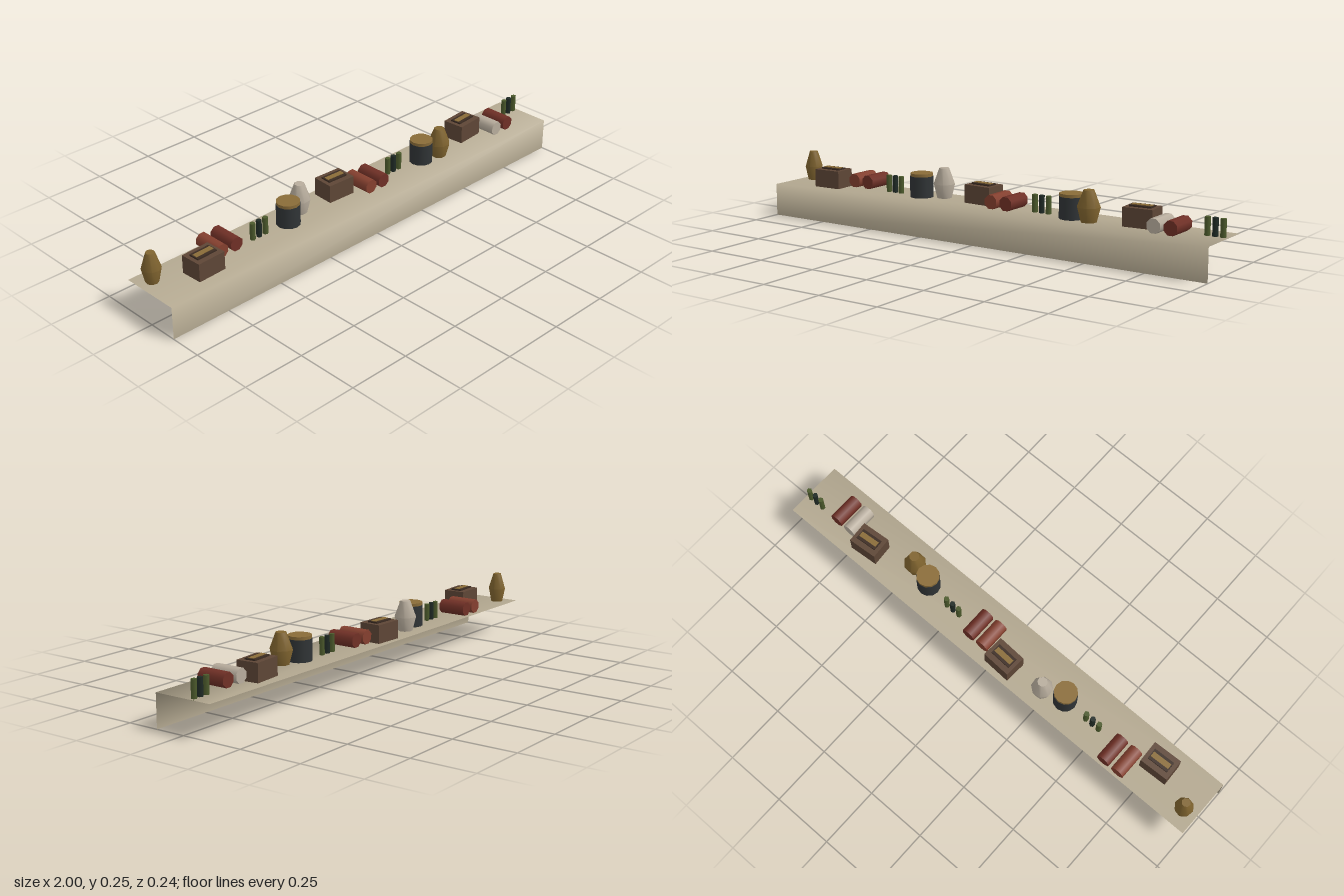
import * as THREE from 'three';
import { toCreasedNormals } from 'three/addons/utils/BufferGeometryUtils.js';

const BASE = 0.126; // goods sink slightly into the shelf top

const paint = (color, side = THREE.FrontSide) => new THREE.MeshStandardMaterial({ color, side });
const C = {
  shelf: paint(0xb3a890, THREE.DoubleSide), crate: paint(0x5e4636), crateDark: paint(0x3c2c22),
  gold: paint(0x8a6c38), drum: paint(0x303436), vase: paint(0x80642f), pale: paint(0xb8ad9d),
  red: paint(0x85402f), darkRed: paint(0x703026), green: paint(0x4c5a2c), darkGreen: paint(0x1f2a25),
};

function part(name, geometry, material, x = 0, y = 0, z = 0) {
  const mesh = new THREE.Mesh(geometry, material);
  mesh.name = name;
  mesh.position.set(x, y, z);
  return mesh;
}

function cluster(name, x, z, turn, ...parts) {
  const group = new THREE.Group();
  group.name = name;
  group.position.set(x, BASE, z);
  group.rotation.y = turn;
  group.add(...parts);
  return group;
}

// Bent sheet: flat top with a front drop, shading blended across the bend
function shelfGeometry() {
  const profile = [[-0.122, 0.131], [0.122, 0.131], [0.122, 0]];
  const positions = [], index = [];
  for (const [z, y] of profile) positions.push(-1, y, z, 1, y, z);
  for (let i = 0; i < profile.length - 1; i++) {
    const a = i * 2;
    index.push(a, a + 2, a + 1, a + 1, a + 2, a + 3);
  }
  const geometry = new THREE.BufferGeometry();
  geometry.setAttribute('position', new THREE.Float32BufferAttribute(positions, 3));
  geometry.setIndex(index);
  geometry.computeVertexNormals();
  return geometry;
}

// Faceted jar with a wide shoulder and a narrow mouth
function vase(x, z, radius, material, turn) {
  const profile = [[0, 0], [0.65, 0], [1, 0.062], [0.46, 0.126], [0, 0.126]]
    .map(([r, y]) => new THREE.Vector2(r * radius, y));
  const geometry = toCreasedNormals(new THREE.LatheGeometry(profile, 8), 0.9);
  return cluster('vase', x, z, turn, part('vaseBody', geometry, material));
}

// Wooden crate with a raised lid and a gold strip
function crate(x, z, turn) {
  return cluster('crate', x, z, turn,
    part('crateBody', new THREE.BoxGeometry(0.12, 0.078, 0.09), C.crate, 0, 0.039),
    part('crateLid', new THREE.BoxGeometry(0.088, 0.008, 0.045), C.crateDark, 0, 0.08),
    part('crateStrip', new THREE.BoxGeometry(0.08, 0.004, 0.022), C.gold, 0, 0.084));
}

// Dark drum with a gold lid
function drum(x, z) {
  return cluster('drum', x, z, 0,
    part('drumBody', new THREE.CylinderGeometry(0.047, 0.047, 0.09, 12), C.drum, 0, 0.045),
    part('drumLid', new THREE.CylinderGeometry(0.046, 0.046, 0.012, 12), C.gold, 0, 0.096));
}

// Two cloth rolls lying front to back
function rollPair(x, z, materials) {
  const geometry = new THREE.CylinderGeometry(0.029, 0.029, 0.116, 8)
    .rotateY(Math.PI / 8).rotateX(Math.PI / 2);
  return cluster('rollPair', x, z, 0,
    ...materials.map((m, i) => part('roll', geometry, m, i * 0.068 - 0.034, 0.036)));
}

// Three slim bottles in a row
function bottleRow(x, z) {
  const geometry = new THREE.CylinderGeometry(0.011, 0.011, 0.074, 6);
  return cluster('bottleRow', x, z, 0, ...[C.green, C.darkGreen, C.green]
    .map((m, i) => part('bottle', geometry, m, (i - 1) * 0.031, 0.037)));
}

export function createModel() {
  const model = new THREE.Group();
  model.name = 'stockedShelf';
  model.add(
    part('shelf', shelfGeometry(), C.shelf),
    vase(-0.945, -0.055, 0.037, C.vase, 0.2),
    vase(-0.25, -0.047, 0.043, C.pale, 0.5),
    vase(0.457, 0.015, 0.045, C.vase, 0.35),
    crate(-0.772, 0.02, 0.04),
    crate(-0.063, -0.053, -0.05),
    crate(0.653, -0.036, 0.08),
    drum(-0.338, -0.014),
    drum(0.371, -0.003),
    rollPair(-0.639, -0.054, [C.red, C.darkRed]),
    rollPair(0.073, -0.01, [C.red, C.darkRed]),
    rollPair(0.788, 0.009, [C.pale, C.darkRed]),
    bottleRow(-0.478, -0.02),
    bottleRow(0.229, -0.02),
    bottleRow(0.948, -0.034),
  );
  return model;
}
